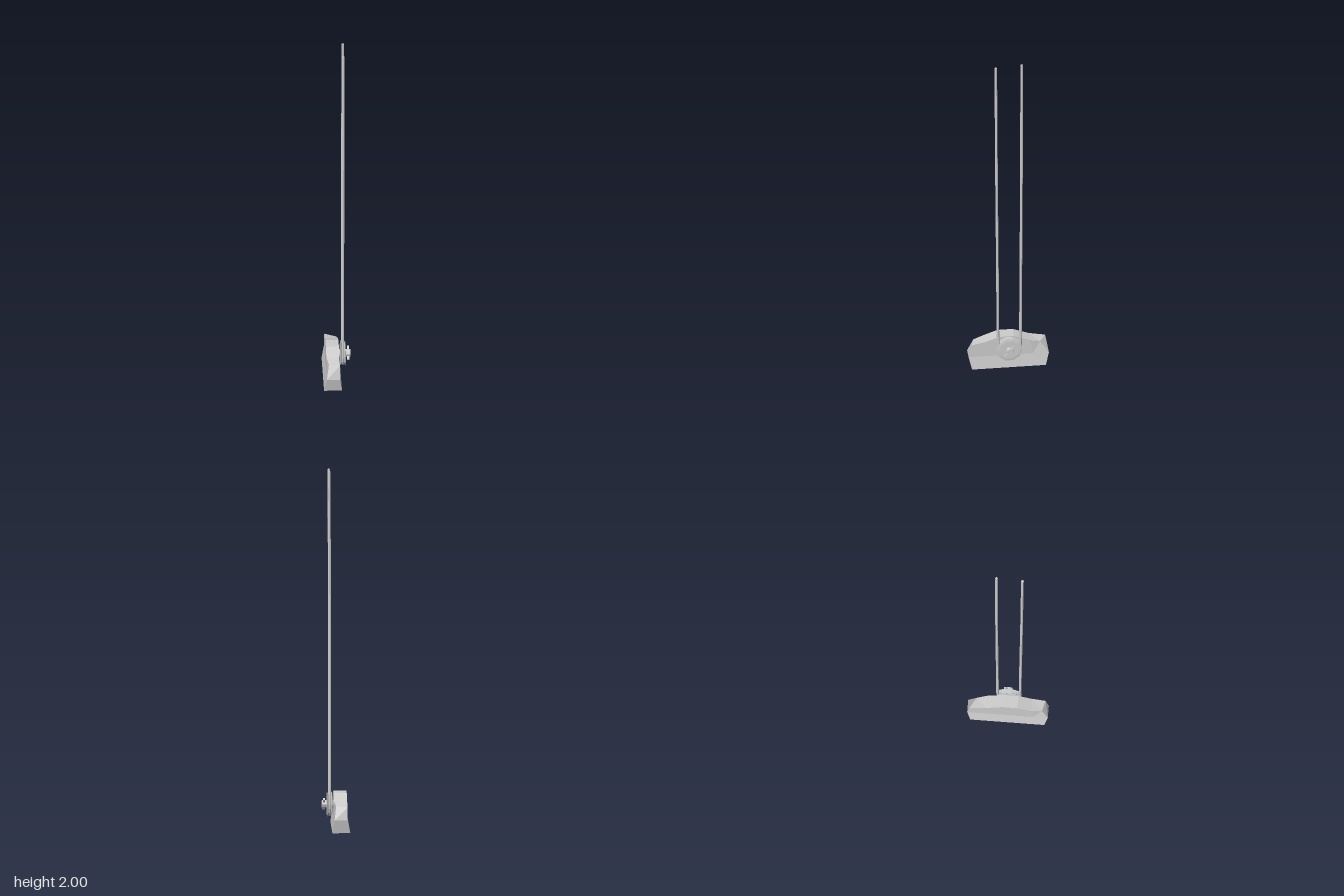
import * as THREE from 'three';

const material = new THREE.MeshStandardMaterial({ color: 0xcccccc, flatShading: true });
const PULLEY_X = 0.033, PULLEY_Y = 0.13;

function add(group, name, geometry, x = 0, y = 0, z = 0) {
  const mesh = new THREE.Mesh(geometry, material);
  mesh.name = name;
  mesh.position.set(x, y, z);
  group.add(mesh);
  return mesh;
}

// Rough-hewn block: a subdivided box with a flared foot and a humped top.
function blockGeometry() {
  const columns = 5;
  const topZ = [-0.2, -0.12, -0.03, 0.055, 0.13, 0.2];
  const topY = [0.145, 0.162, 0.196, 0.196, 0.168, 0.152];
  const geometry = new THREE.BoxGeometry(2, 2, 2, 1, 2, columns);
  const p = geometry.attributes.position;
  for (let i = 0; i < p.count; i++) {
    const left = p.getX(i) > 0;
    const row = Math.round(p.getY(i)) + 1;
    const col = Math.round((p.getZ(i) + 1) / 2 * columns);
    let x = left ? 0.01 : -0.062, y, z;
    if (row === 0) {
      x = left ? 0.022 : -0.077;
      y = 0;
      z = topZ[col] * 0.205 / 0.2;
    } else if (row === 1) {
      y = 0.075;
      z = topZ[col] * 0.223 / 0.2;
    } else {
      y = topY[col];
      z = topZ[col];
      // Chipped upper corners
      if (col === 0) { x = left ? 0 : -0.062; z = left ? -0.175 : -0.21; }
      if (col === columns) { x = left ? 0.01 : -0.05; z = left ? 0.205 : 0.19; }
    }
    p.setXYZ(i, x, y, z);
  }
  geometry.computeVertexNormals();
  return geometry;
}

// Rope: down the back, round the pulley groove and up the front.
function ropeGeometry() {
  const path = new THREE.CurvePath();
  const point = (y, z, x = 0) => new THREE.Vector3(PULLEY_X + x, y, z);
  const r = 0.062;
  const points = [point(2, -0.069, 0.002), point(1.3, -0.068), point(0.7, -0.065, -0.001), point(PULLEY_Y, -r, -0.001)];
  for (let i = 1; i <= 6; i++) {
    const a = Math.PI * i / 6;
    points.push(point(PULLEY_Y - r * Math.sin(a), -r * Math.cos(a), -0.001));
  }
  points.push(point(0.6, 0.065, -0.001), point(1.2, 0.07), point(1.99, 0.075, 0.001));
  for (let i = 1; i < points.length; i++) path.add(new THREE.LineCurve3(points[i - 1], points[i]));
  return new THREE.TubeGeometry(path, 160, 0.0075, 6, false);
}

export function createModel() {
  const model = new THREE.Group();
  model.name = 'ropePulley';

  add(model, 'block', blockGeometry());

  // Grooved wheel turning on the x axis
  const profile = [[0, -0.015], [0.058, -0.015], [0.072, -0.013], [0.048, -0.004],
    [0.048, 0.004], [0.072, 0.013], [0.058, 0.015], [0, 0.015]].map(([r, h]) => new THREE.Vector2(r, h));
  const wheel = add(model, 'pulleyWheel', new THREE.LatheGeometry(profile, 10), PULLEY_X, PULLEY_Y, 0);
  wheel.rotation.z = -Math.PI / 2;

  // Axle and the locking pin through its end
  const axle = add(model, 'axle', new THREE.CylinderGeometry(0.021, 0.021, 0.085, 8), 0.0325, PULLEY_Y, 0);
  axle.rotation.z = -Math.PI / 2;
  const pin = add(model, 'lockingPin', new THREE.BoxGeometry(0.012, 0.08, 0.012), 0.063, PULLEY_Y, 0);
  pin.rotation.x = -0.65;

  const rope = add(model, 'rope', ropeGeometry());

  // Caps on the two rope ends
  const capGeometry = new THREE.CircleGeometry(0.0075, 6).rotateX(-Math.PI / 2);
  add(rope, 'backRopeEnd', capGeometry, PULLEY_X + 0.002, 2, -0.069);
  add(rope, 'frontRopeEnd', capGeometry, PULLEY_X + 0.001, 1.99, 0.075);
  return model;
}
